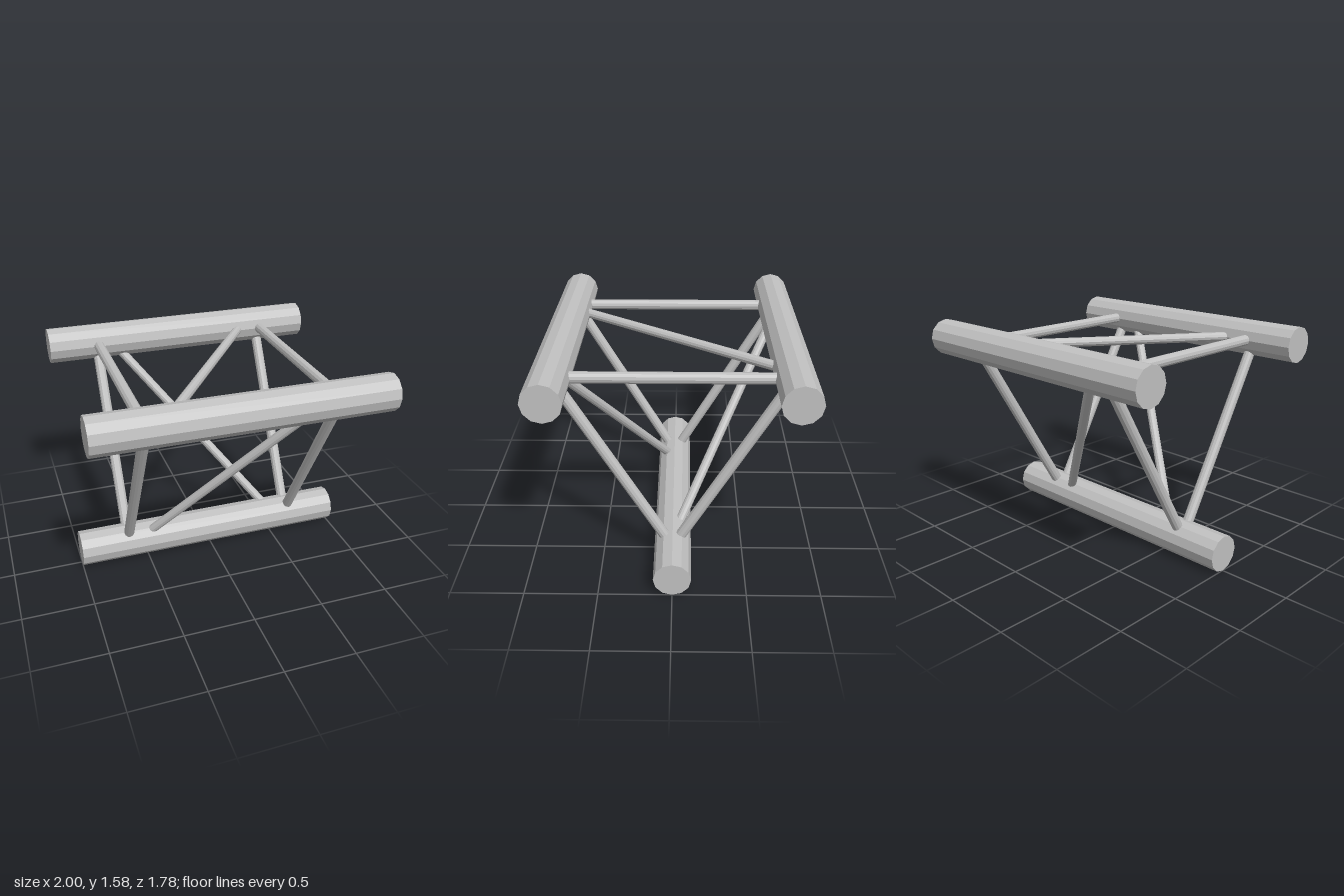
import * as THREE from 'three';

export function createModel() {
  const group = new THREE.Group();
  const metal = new THREE.MeshStandardMaterial({ color: 0xc0c0c0, flatShading: true });
  metal.name = 'brushed aluminium grey';

  // Round bar between two points
  function bar(name, a, b, radius) {
    const dir = b.clone().sub(a);
    const mesh = new THREE.Mesh(new THREE.CylinderGeometry(radius, radius, dir.length(), 12), metal);
    mesh.position.copy(a).add(b).multiplyScalar(0.5);
    mesh.quaternion.setFromUnitVectors(new THREE.Vector3(0, 1, 0), dir.normalize());
    mesh.name = name;
    group.add(mesh);
  }

  // Chord centres [y, z], forming an equilateral triangle
  const chords = [
    { name: 'bottomChord', y: 0.128, z: 0 },
    { name: 'frontTopChord', y: 1.448, z: 0.7615 },
    { name: 'backTopChord', y: 1.448, z: -0.7615 },
  ];
  const faces = ['front', 'top', 'back'];
  const at = (c, x) => new THREE.Vector3(x, c.y, c.z);

  chords.forEach((c, i) => {
    const next = chords[(i + 1) % 3];
    // Main chord tube
    bar(c.name, at(c, -1), at(c, 1), 0.128);
    // Two straight struts and one diagonal brace on each face
    bar(faces[i] + 'StrutRight', at(c, -0.64), at(next, -0.64), 0.038);
    bar(faces[i] + 'StrutLeft', at(c, 0.64), at(next, 0.64), 0.038);
    bar(faces[i] + 'Diagonal', at(c, -0.535), at(next, 0.535), 0.033);
  });

  return group;
}
